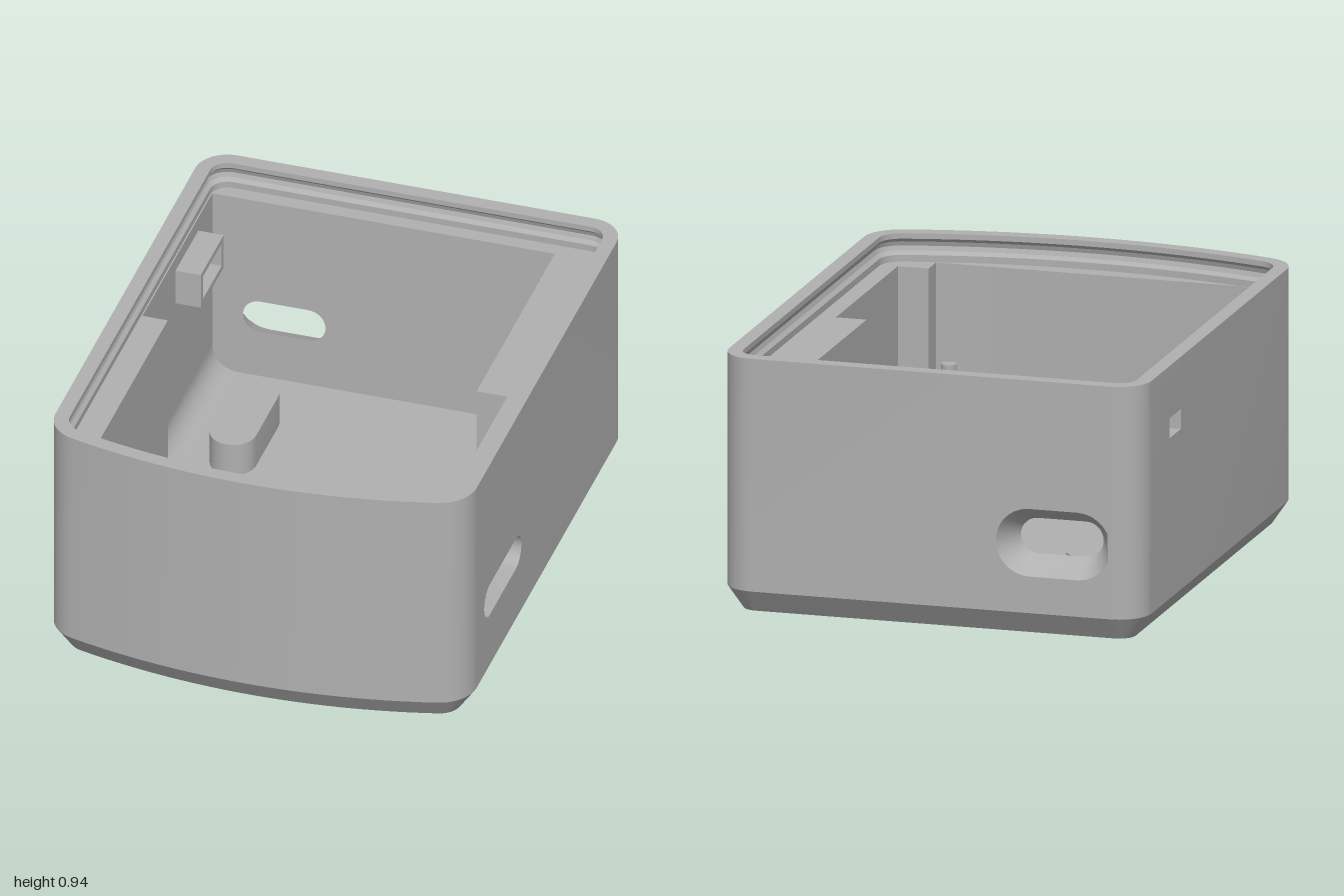
import * as THREE from 'three';
import { mergeGeometries, toCreasedNormals } from 'three/addons/utils/BufferGeometryUtils.js';

const V = (x, y, z) => new THREE.Vector3(x, y, z);
const UP = V(0, 1, 0);
const TOP = 0.945, LEDGE = 0.84, FLOOR = 0.09, CHAMFER = 0.085, LIP = 0.055;

// Flat face through 3D loops, seen from the side its normal n points to
function face(outer, holes, n) {
  const u = Math.abs(n.y) > 0.5 ? V(1, 0, 0) : UP.clone().cross(n).normalize();
  const v = n.clone().cross(u);
  const d = n.dot(outer[0]);
  const flat = loop => loop.map(p => new THREE.Vector2(p.dot(u), p.dot(v)));
  const shape = new THREE.Shape(flat(outer));
  shape.holes = holes.map(h => new THREE.Path(flat(h)));
  const g = new THREE.ShapeGeometry(shape).toNonIndexed();
  g.deleteAttribute('uv');
  g.deleteAttribute('normal');
  return g.applyMatrix4(new THREE.Matrix4().makeBasis(u, v, n).setPosition(n.clone().multiplyScalar(d)));
}

// Skin between successive rings of points
function loft(rings, closed = true) {
  const pos = [];
  for (let k = 0; k + 1 < rings.length; k++) {
    const A = rings[k], B = rings[k + 1], n = A.length;
    for (let i = 0; i < (closed ? n : n - 1); i++) {
      const j = (i + 1) % n;
      for (const p of [A[i], A[j], B[j], A[i], B[j], B[i]]) pos.push(p.x, p.y, p.z);
    }
  }
  const g = new THREE.BufferGeometry();
  g.setAttribute('position', new THREE.Float32BufferAttribute(pos, 3));
  return g;
}

// Case outline, inset by d at height y, in its curved pieces
function outline(d, y) {
  const arc = (cx, cz, r, a, b, n) => Array.from({ length: n + 1 }, (_, i) => {
    const t = a + (b - a) * i / n;
    return V(cx + (r - d) * Math.cos(t), y, cz + (r - d) * Math.sin(t));
  });
  const R = 2.65, rc = 0.14, rb = 0.12, cx = 0.79 - rc;
  const rise = Math.sqrt((R - rc) ** 2 - cx * cx), cz = 1 - R + rise;
  const phi = Math.atan2(rise, cx), PI = Math.PI;
  const front = [
    ...arc(-cx, cz, rc, PI, PI - phi, 10),
    ...arc(0, 1 - R, R, PI - phi, phi, 24).slice(1, -1),
    ...arc(cx, cz, rc, phi, 0, 10)];
  const backRight = arc(0.79 - rb, -1 + rb, rb, 0, -PI / 2, 10);
  const backLeft = arc(-0.79 + rb, -1 + rb, rb, -PI / 2, -PI, 10);
  return { front, backRight, backLeft, all: [...front, ...backRight, ...backLeft] };
}

// Slot (h > 0) or circle (h = 0), counterclockwise; place() maps it into space
function slot(h, r, place, n = 14) {
  const pts = [];
  for (const s of [1, -1]) for (let i = 0; i < (h ? n + 1 : n); i++) {
    const t = -Math.PI / 2 + Math.PI * i / n;
    pts.push(place(s * (h + r * Math.cos(t)), s * r * Math.sin(t)));
  }
  return pts;
}
const rect = (w, h, place) => [[-w, -h], [w, -h], [w, h], [-w, h]].map(([u, v]) => place(u, v));

export function createModel() {
  const group = new THREE.Group();
  const grey = new THREE.MeshStandardMaterial({ color: 0xb0b0b0 });
  grey.name = 'grey plastic';
  grey.side = THREE.DoubleSide;
  const add = (name, parts) => {
    const mesh = new THREE.Mesh(toCreasedNormals(mergeGeometries(parts), 0.4), grey);
    mesh.name = name;
    group.add(mesh);
  };

  // Opening rings
  const sideSlot = x => slot(0.155, 0.065, (u, v) => V(x, 0.365 + v, 0.467 + u));
  const backSlot = (z, r) => slot(0.09, r, (u, v) => V(-0.46 + u, 0.345 + v, z));
  const latch = (x, w, h) => rect(w, h, (u, v) => V(x, 0.715 + v, -0.59 + u));
  const recess = y => slot(0.52, 0.14, (u, v) => V(-v, y, u));
  const pocket = (y, z) => slot(0, 0.077, (u, v) => V(-v, y, z + u));
  const ends = [-0.52, 0.52];

  // Outer walls: curved pieces, then flat panels with openings
  const lo = outline(0, CHAMFER), hi = outline(0, TOP);
  const panel = (a, b, holes, n) => {
    const [p, q] = [a, b].map(k => [lo[k[0]].at(k[1]), hi[k[0]].at(k[1])]);
    return face([p[0], q[0], q[1], p[1]], holes, n);
  };
  const rim = [[0, TOP], [LIP, TOP], [LIP, 0.925], [0.042, 0.912], [0.036, 0.895],
    [0.042, 0.878], [LIP, 0.865], [LIP, LEDGE]];
  add('outerShell', [
    ...['front', 'backRight', 'backLeft'].map(k => loft([lo[k], hi[k]], false)),
    panel(['front', -1], ['backRight', 0], [sideSlot(0.79)], V(1, 0, 0)),
    panel(['backRight', -1], ['backLeft', 0], [backSlot(-1, 0.125)], V(0, 0, -1)),
    panel(['backLeft', -1], ['front', 0], [latch(-0.79, 0.07, 0.037)], V(-1, 0, 0)),
    loft([outline(0.058, 0).all, lo.all]),
    face(outline(0.058, 0).all, [recess(0)], V(0, -1, 0)),
  ]);
  add('rimWithSnapGroove', [loft(rim.map(([d, y]) => outline(d, y).all))]);

  // Cavity: stepped walls, ledge and floor
  const plan = [[-0.73, -0.89], [0.555, -0.89], [0.555, 0.035], [0.67, 0.035], [0.67, 0.79],
    [0.555, 0.79], [0.555, 0.88], [-0.575, 0.878], [-0.635, 0.86], [-0.635, -0.065], [-0.73, -0.065]];
  const at = y => plan.map(([x, z]) => V(x, y, z));
  const low = at(FLOOR), high = at(LEDGE);
  const wallHoles = { 0: [backSlot(-0.89, 0.065)], 3: [sideSlot(0.67)], 10: [latch(-0.73, 0.07, 0.037)] };
  add('cavityWalls', plan.map((_, i) => {
    const j = (i + 1) % plan.length;
    const n = low[j].clone().sub(low[i]).normalize().cross(UP);
    return face([low[i], low[j], high[j], high[i]], wallHoles[i] || [], n);
  }));
  add('ledge', [face(outline(LIP, LEDGE).all, [high], UP)]);
  add('floor', [face(low, [], UP)]);

  // Rounded foot of the left wall
  const cove = z => Array.from({ length: 11 }, (_, i) => {
    const t = Math.PI * (1 + i / 20);
    return V(-0.635 + 0.095 * Math.cos(t), FLOOR + 0.095 + 0.095 * Math.sin(t), z);
  });
  add('floorCove', [loft([cove(-0.065), cove(-0.89)], false)]);

  // Linings of the openings
  add('sideSlotLining', [loft([sideSlot(0.67), sideSlot(0.79)])]);
  add('backSlotFunnel', [loft([backSlot(-0.89, 0.065), backSlot(-1, 0.125)])]);
  add('latchHoleLining', [loft([latch(-0.79, 0.07, 0.037), latch(-0.73, 0.07, 0.037)])]);

  // Hollow bracket around the latch hole
  add('latchBracket', [
    loft([latch(-0.635, 0.135, 0.07), latch(-0.73, 0.135, 0.07)]),
    loft([latch(-0.73, 0.112, 0.048), latch(-0.635, 0.112, 0.048)]),
    face(latch(-0.635, 0.135, 0.07), [latch(-0.635, 0.112, 0.048)], V(1, 0, 0)),
  ]);

  // Underside recess with two round pockets
  add('bottomRecess', [
    loft([recess(0), recess(0.035)]),
    face(recess(0.035), ends.map(z => pocket(0.035, z)), V(0, -1, 0)),
    ...ends.map(z => loft([pocket(0.035, z), pocket(0.075, z)])),
    ...ends.map(z => face(pocket(0.075, z), [], V(0, -1, 0))),
  ]);

  // Raised pad on the floor
  const pad = y => slot(0.132, 0.085, (u, v) => V(-0.475 - v, y, -0.467 + u));
  add('floorPad', [loft([pad(0.22), pad(FLOOR)]), face(pad(0.22), [], UP)]);

  // Mounting posts with locating pins
  for (const [x, z] of [[0.485, -0.81], [0.485, 0.81], [-0.565, 0.81]]) {
    const post = new THREE.Group();
    post.name = 'mountingPost';
    for (const [name, r, y0, y1] of [['boss', 0.057, FLOOR, 0.25], ['pin', 0.028, 0.25, 0.49]]) {
      const mesh = new THREE.Mesh(new THREE.CylinderGeometry(r, r, y1 - y0, 28), grey);
      mesh.name = name;
      mesh.position.set(x, (y0 + y1) / 2, z);
      post.add(mesh);
    }
    group.add(post);
  }
  return group;
}
